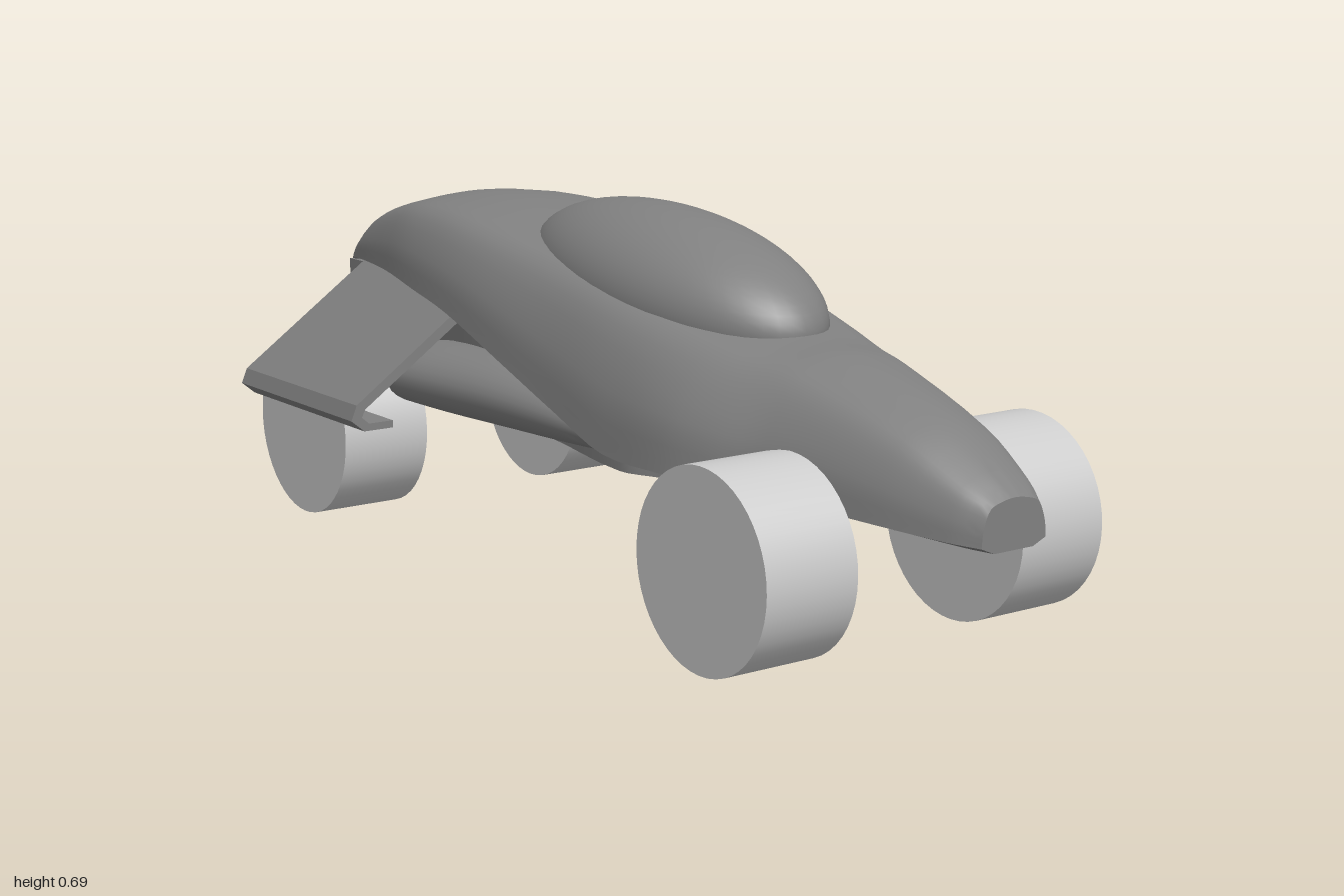
import * as THREE from 'three';
import { toCreasedNormals } from 'three/addons/utils/BufferGeometryUtils.js';

const paint = new THREE.MeshStandardMaterial({ color: 0x808080 });
const grey = new THREE.MeshStandardMaterial({ color: 0xcccccc });

function add(parent, name, geometry, material = paint) {
  const mesh = new THREE.Mesh(geometry, material);
  mesh.name = name;
  parent.add(mesh);
  return mesh;
}

// Closed skin through rings of [x, y, z] points, with capped ends.
// Seen from +x, each ring runs clockwise.
function loft(rings, crease = 0.6) {
  const n = rings[0].length, pos = rings.flat(2), idx = [];
  for (let i = 0; i < rings.length - 1; i++) {
    for (let j = 0; j < n; j++) {
      const k = (j + 1) % n;
      const a = i * n + j, b = i * n + k, c = a + n, d = b + n;
      idx.push(a, c, b, c, d, b);
    }
  }
  [0, rings.length - 1].forEach((r) => {
    const centre = pos.length / 3;
    const mean = [0, 1, 2].map((k) => rings[r].reduce((s, p) => s + p[k], 0) / n);
    pos.push(...mean);
    for (let j = 0; j < n; j++) {
      const p = r * n + j, q = r * n + ((j + 1) % n);
      idx.push(centre, r ? q : p, r ? p : q);
    }
  });
  const g = new THREE.BufferGeometry();
  g.setAttribute('position', new THREE.Float32BufferAttribute(pos, 3));
  g.setIndex(idx);
  return toCreasedNormals(g, crease);
}

// Adds eased stations between the given ones.
function refine(stations, steps) {
  const out = [], at = (i) => stations[Math.min(Math.max(i, 0), stations.length - 1)];
  for (let i = 0; i < stations.length - 1; i++) {
    const [p, a, b, q] = [at(i - 1), at(i), at(i + 1), at(i + 2)];
    const h = b[0] - a[0];
    for (let s = 0; s < steps; s++) {
      const t = s / steps, u = 1 - t;
      out.push(a.map((v, k) => {
        if (k === 0) return v + h * t;
        const ma = h * (b[k] - p[k]) / (b[0] - p[0]), mb = h * (q[k] - v) / (q[0] - a[0]);
        return v * (1 + 2 * t) * u * u + ma * t * u * u + b[k] * t * t * (3 - 2 * t) - mb * t * t * u;
      }));
    }
  }
  out.push(at(stations.length));
  return out;
}

// Body shell: x, belly y, edge z, edge y, shoulder z, shoulder y, crown y
const SHELL = [
  [-0.99, 0.455, 0.05, 0.458, 0.03, 0.468, 0.472],
  [-0.95, 0.47, 0.1, 0.47, 0.07, 0.495, 0.507],
  [-0.8, 0.497, 0.17, 0.495, 0.13, 0.57, 0.592],
  [-0.6, 0.5, 0.222, 0.5, 0.175, 0.62, 0.647],
  [-0.45, 0.485, 0.25, 0.485, 0.19, 0.627, 0.652],
  [-0.3, 0.46, 0.265, 0.46, 0.2, 0.615, 0.638],
  [-0.1, 0.4, 0.275, 0.4, 0.2, 0.585, 0.61],
  [0.1, 0.33, 0.275, 0.33, 0.2, 0.55, 0.575],
  [0.24, 0.25, 0.275, 0.285, 0.19, 0.52, 0.545],
  [0.4, 0.242, 0.268, 0.28, 0.17, 0.485, 0.515],
  [0.5, 0.242, 0.245, 0.277, 0.15, 0.465, 0.497],
  [0.6, 0.242, 0.203, 0.272, 0.13, 0.45, 0.485],
  [0.83, 0.24, 0.145, 0.26, 0.1, 0.385, 0.42],
  [0.95, 0.235, 0.1, 0.25, 0.075, 0.33, 0.355],
  [1, 0.233, 0.07, 0.245, 0.052, 0.307, 0.32],
];

function shellRing([x, yb, ze, ye, zs, ys, yt]) {
  const half = [[ze, ye], [ze - 0.2 * (ze - zs), ye + 0.48 * (ys - ye)], [zs, ys], [zs * 0.5, ys + 0.75 * (yt - ys)]];
  const mirror = half.map(([z, y]) => [-z, y]).reverse();
  const curve = new THREE.CatmullRomCurve3(
    [...half, [0, yt], ...mirror].map(([z, y]) => new THREE.Vector3(x, y, z)));
  const arc = Array.from({ length: 33 }, (_, i) => curve.getPoint(i / 32).toArray());
  return [[x, yb, ze * 0.6], ...arc, [x, yb, -ze * 0.6]];
}

// Underbody: x, floor y, floor half width, top y
const UNDERBODY = [
  [-0.9, 0.35, 0.1, 0.482],
  [-0.75, 0.343, 0.13, 0.51],
  [-0.5, 0.3, 0.17, 0.5],
  [-0.3, 0.265, 0.2, 0.48],
  [0, 0.262, 0.22, 0.41],
  [0.24, 0.248, 0.235, 0.31],
  [0.32, 0.246, 0.2, 0.28],
];

// Side pod: x, centre y, centre z, y radius, z radius
const POD = [
  [-0.4, 0.325, 0.23, 0.062, 0.11],
  [-0.3, 0.326, 0.225, 0.065, 0.105],
  [-0.1, 0.325, 0.215, 0.062, 0.09],
  [0.1, 0.312, 0.21, 0.045, 0.064],
  [0.24, 0.295, 0.21, 0.02, 0.04],
];

function podRing([x, cy, cz, ry, rz], side) {
  return Array.from({ length: 28 }, (_, i) => {
    const a = (i / 28) * Math.PI * 2;
    return [x, cy - ry * Math.cos(a), side * cz + rz * Math.sin(a)];
  });
}

// Extrudes a [z, y] outline along x.
function extrudeX(outline, x0, x1, holes = []) {
  const toPoints = (list) => list.map(([z, y]) => new THREE.Vector2(-z, y));
  const shape = new THREE.Shape(toPoints(outline));
  holes.forEach((h) => shape.holes.push(new THREE.Path(toPoints(h))));
  const g = new THREE.ExtrudeGeometry(shape, { depth: x1 - x0, bevelEnabled: false });
  return g.rotateY(Math.PI / 2).translate(x0, 0, 0);
}
const rect = (z0, z1, y0, y1) => [[z0, y0], [z1, y0], [z1, y1], [z0, y1]];

export function createModel() {
  const car = new THREE.Group();
  car.name = 'car';

  add(car, 'bodyShell', loft(refine(SHELL, 4).map(shellRing)));
  add(car, 'underbody', loft(refine(UNDERBODY, 4).map(([x, yb, w, yt]) =>
    [[x, yb, w], [x, yt, w], [x, yt, -w], [x, yb, -w]])));

  // Cockpit bubble, tipped towards the nose
  const canopy = add(car, 'canopy', new THREE.SphereGeometry(1, 48, 32));
  canopy.scale.set(0.388, 0.143, 0.19);
  canopy.rotation.z = -0.122;
  canopy.position.set(0.087, 0.54, 0);

  // Tail exhaust with two square outlets
  add(car, 'tailNeck', new THREE.BoxGeometry(0.07, 0.085, 0.12)).position.set(-0.915, 0.412, 0);
  add(car, 'tailExhaust', extrudeX(rect(-0.08, 0.08, 0.357, 0.462), -1, -0.935,
    [rect(-0.065, -0.01, 0.375, 0.445), rect(0.01, 0.065, 0.375, 0.445)]));

  for (const side of [1, -1]) {
    const label = side > 0 ? 'left' : 'right';
    add(car, label + 'SidePod', loft(refine(POD, 4).map((p) => podRing(p, side))));

    // Sloping wing plate with a lip folded under its outer edge
    const wing = [[0.17, 0.51], [0.463, 0.302], [0.475, 0.273], [0.447, 0.25], [0.385, 0.25],
      [0.385, 0.264], [0.437, 0.264], [0.452, 0.277], [0.445, 0.292], [0.17, 0.485]];
    add(car, label + 'Wing', extrudeX(wing.map(([z, y]) => [side * z, y]), -0.75, -0.3));

    for (const [name, x] of [['FrontWheel', 0.65], ['RearWheel', -0.7]]) {
      const wheel = add(car, label + name, new THREE.CylinderGeometry(0.177, 0.177, 0.188, 48), grey);
      wheel.rotation.x = Math.PI / 2;
      wheel.position.set(x, 0.18, side > 0 ? 0.271 : -0.283);
    }
  }
  car.children.forEach((m) => { if (m.name.endsWith('Wheel')) m.position.y = 0.177; });
  return car;
}
